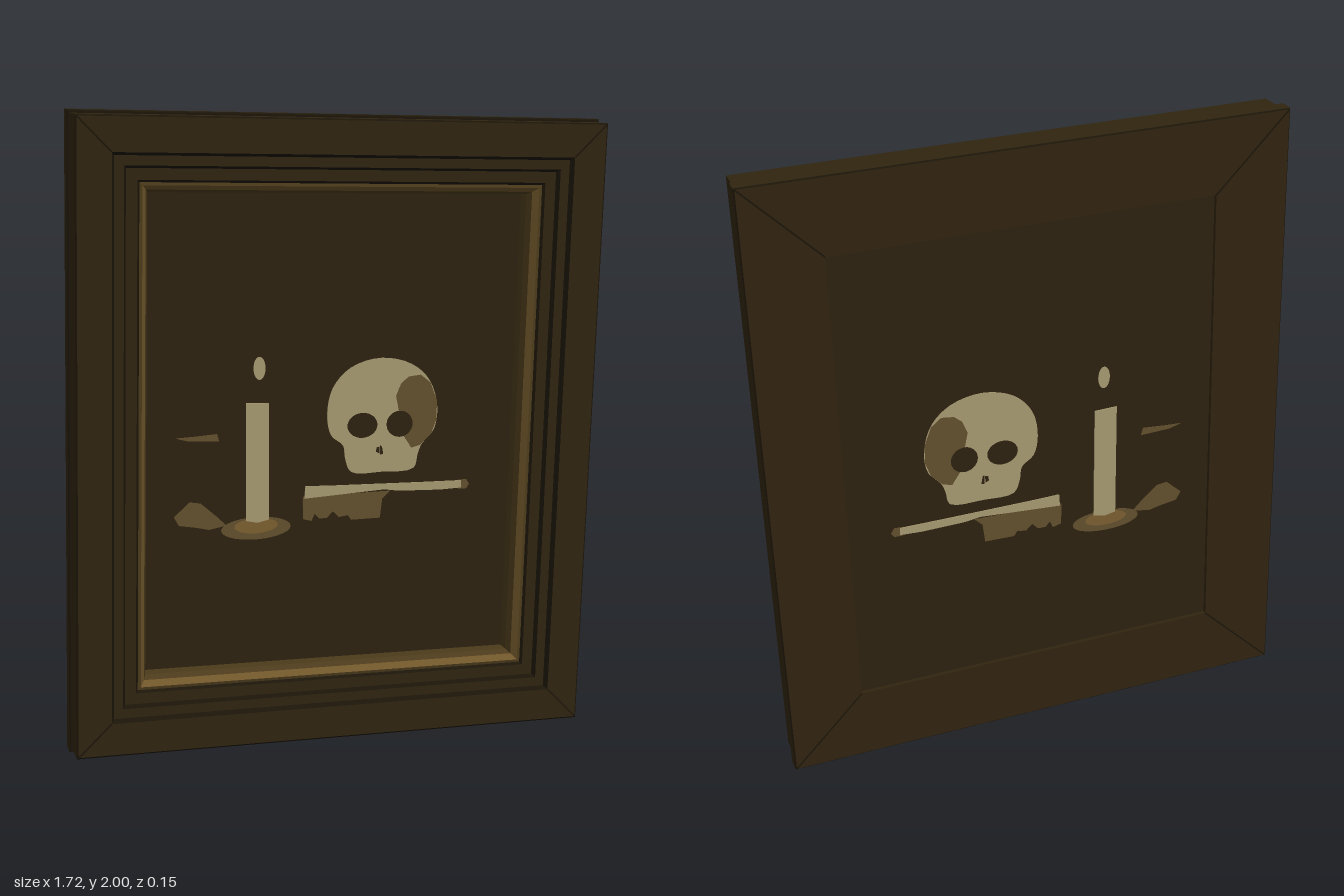
import * as THREE from 'three';

const mat = (name, color, side = THREE.FrontSide) => {
  const m = new THREE.MeshStandardMaterial({ color, side });
  m.name = name;
  return m;
};

const HALF_W = 0.833, HALF_H = 0.977, CANVAS_Z = -0.062;

// Mitred rectangular moulding swept from a profile of [inset, z] points
function mouldingGeometry(profile) {
  const corner = ([i, z], k) => [
    (k === 1 || k === 2 ? 1 : -1) * (HALF_W - i),
    (k >= 2 ? 1 : -1) * (HALF_H - i), z];
  const pos = [];
  for (let s = 0; s < profile.length - 1; s++) {
    for (let k = 0; k < 4; k++) {
      const n = (k + 1) % 4;
      const a = corner(profile[s], k), b = corner(profile[s], n);
      const c = corner(profile[s + 1], n), d = corner(profile[s + 1], k);
      pos.push(...a, ...b, ...c, ...a, ...c, ...d);
    }
  }
  const g = new THREE.BufferGeometry();
  g.setAttribute('position', new THREE.Float32BufferAttribute(pos, 3));
  g.computeVertexNormals();
  return g;
}

export function createModel() {
  const wood = mat('darkWood', 0x30240f);
  const groove = mat('grooveBrown', 0x1b1408);
  const gold = mat('oldGold', 0x70562a);
  const dimGold = mat('dimGold', 0x4c3b1b);
  const ground = mat('canvasBrown', 0x2d210f, THREE.DoubleSide);
  const bone = mat('paleBone', 0xa59870);
  const tan = mat('shadowTan', 0x614e2d);
  const brass = mat('brass', 0x7a5f30);
  const hollow = mat('hollowBrown', 0x2d210f);

  const model = new THREE.Group();
  model.name = 'framedPainting';
  const add = (parent, name, geo, material) => {
    const m = new THREE.Mesh(geo, material);
    m.name = name;
    parent.add(m);
    return m;
  };

  // Frame hangs slightly crooked
  const frame = new THREE.Group();
  frame.name = 'frame';
  frame.position.y = 1;
  frame.rotation.z = -0.027;
  model.add(frame);

  const strips = [
    ['backRing', wood, [[0.235, CANVAS_Z], [0.235, -0.075], [0.004, -0.075]]],
    ['backEdge', groove, [[0.004, -0.075], [0, -0.071]]],
    ['backFlange', wood, [[0, -0.071], [0, -0.025]]],
    ['flangeEdge', groove, [[0, -0.025], [0.004, -0.02], [0.01, -0.02]]],
    ['outerSide', wood, [[0.01, -0.02], [0.01, 0.066]]],
    ['outerEdge', groove, [[0.01, 0.066], [0.015, 0.07]]],
    ['frontBorder', wood, [[0.015, 0.07], [0.116, 0.07]]],
    ['borderStep', groove, [[0.116, 0.07], [0.125, 0.052]]],
    ['middleMoulding', wood, [[0.125, 0.052], [0.154, 0.052]]],
    ['middleStep', groove, [[0.154, 0.052], [0.162, 0.036]]],
    ['innerMoulding', wood, [[0.162, 0.036], [0.196, 0.036]]],
    ['innerStep', groove, [[0.196, 0.036], [0.203, 0.028]]],
    ['outerGoldTrim', dimGold, [[0.203, 0.028], [0.212, 0.03]]],
    ['goldTrim', gold, [[0.212, 0.03], [0.226, 0.005]]],
    ['innerGoldTrim', dimGold, [[0.226, 0.005], [0.235, -0.02], [0.235, CANVAS_Z]]],
  ];
  for (const [name, material, profile] of strips) add(frame, name, mouldingGeometry(profile), material);

  // Mitre joints, front and back
  for (const sx of [-1, 1]) for (const sy of [-1, 1]) {
    for (const [from, to, z] of [[0.015, 0.116, 0.07], [0.004, 0.235, -0.075]]) {
      const mid = (from + to) / 2;
      const joint = add(frame, 'mitreJoint',
        new THREE.BoxGeometry((to - from) * Math.SQRT2, 0.005, 0.001), groove);
      joint.position.set(sx * (HALF_W - mid), sy * (HALF_H - mid), z);
      joint.rotation.z = sx * sy * Math.PI / 4;
    }
  }

  const canvas = add(frame, 'canvas',
    new THREE.PlaneGeometry(2 * (HALF_W - 0.235), 2 * (HALF_H - 0.235)), ground);
  canvas.position.z = CANVAS_Z;

  // Painted still life: thin plates through the canvas, seen from both sides
  const painting = new THREE.Group();
  painting.name = 'painting';
  painting.position.z = CANVAS_Z;
  model.add(painting);

  // Points are in hundredths of a unit; higher layers are slightly thicker
  const plate = (name, material, layer, pts, smooth = false) => {
    let v = pts.map(([x, y]) => new THREE.Vector2(x / 100, y / 100));
    if (smooth) {
      const curve = new THREE.CatmullRomCurve3(
        v.map(p => new THREE.Vector3(p.x, p.y, 0)), true, 'centripetal');
      v = curve.getPoints(64).slice(0, -1).map(p => new THREE.Vector2(p.x, p.y));
    }
    const depth = 0.002 + layer * 0.002;
    const g = new THREE.ExtrudeGeometry(new THREE.Shape(v), { depth, bevelEnabled: false });
    g.translate(0, 0, -depth / 2);
    return add(painting, name, g, material);
  };
  const oval = (name, material, layer, x, y, rx, ry) => {
    const pts = [];
    for (let i = 0; i < 28; i++) {
      const a = i / 28 * Math.PI * 2;
      pts.push([x + rx * Math.cos(a), y + ry * Math.sin(a)]);
    }
    return plate(name, material, layer, pts);
  };

  // Skull
  plate('skull', bone, 1, [[-1.8, 105], [0, 113.5], [6, 119.8], [16, 122.4], [26, 120], [32, 114.5],
    [34.6, 106], [33.5, 98.5], [29.5, 94], [28.2, 91], [26.8, 86.4], [16, 85.8], [6, 86.4],
    [4, 91], [3.4, 95], [-0.5, 98.5]], true);
  plate('skullShadow', tan, 2, [[20.8, 110], [22.5, 114], [25, 116], [29, 116.4], [32.2, 113.8],
    [34.4, 108], [34.4, 102], [32.6, 97.2], [29, 93.8], [26, 93], [23.4, 97], [22, 104]]);
  oval('leftEyeSocket', hollow, 3, 22, 101, 4.3, 4.2);
  oval('rightEyeSocket', hollow, 3, 9.7, 101.2, 4.9, 4);
  for (const s of [-1, 1]) {
    plate('nostril', hollow, 2, s > 0
      ? [[15.6, 91.4], [16.6, 91.6], [16.2, 94], [15.6, 94.4]]
      : [[14.2, 92.4], [15.3, 91.8], [15.4, 94], [14.4, 93.8]]);
  }

  // Book under the skull
  plate('bookPages', bone, 2, [[-9.3, 78.8], [-9, 82.8], [0, 82.4], [30, 81.5], [43, 81.2],
    [43, 78.8], [36, 78.6], [22, 79.2], [17, 80]]);
  plate('bookEnd', tan, 1, [[42, 78.4], [44.8, 78.4], [45.8, 79.8], [44.8, 81.4], [42, 81.4]]);
  plate('bookShadow', tan, 1, [[-9.8, 72.2], [-7, 71.4], [-6, 73.6], [-4.5, 72], [-2, 72], [0, 74],
    [2, 72], [5, 72.4], [6, 70.8], [15.6, 70.8], [16.4, 77], [19, 79.4], [-9.8, 79.4]]);

  // Candle and dish
  oval('candleDish', tan, 1, -25, 70.4, 11.2, 3.6);
  oval('dishCentre', brass, 2, -25, 71.2, 7, 2.4);
  plate('candle', bone, 3, [[-28.2, 73], [-24.5, 72.2], [-20.8, 73], [-20.5, 110], [-27.8, 110.4]]);
  oval('flame', bone, 1, -23.4, 121, 1.9, 3.6);

  // Cloth and faint highlight
  plate('cloth', tan, 1, [[-51, 75.8], [-49.5, 73], [-44, 72], [-40, 71], [-34.5, 72], [-37, 74.6],
    [-42.5, 79.6], [-46, 80.2]]);
  plate('highlight', tan, 1, [[-50, 100.6], [-46, 99.4], [-36.4, 98.8], [-37, 101.2], [-44, 100.8]]);

  return model;
}
